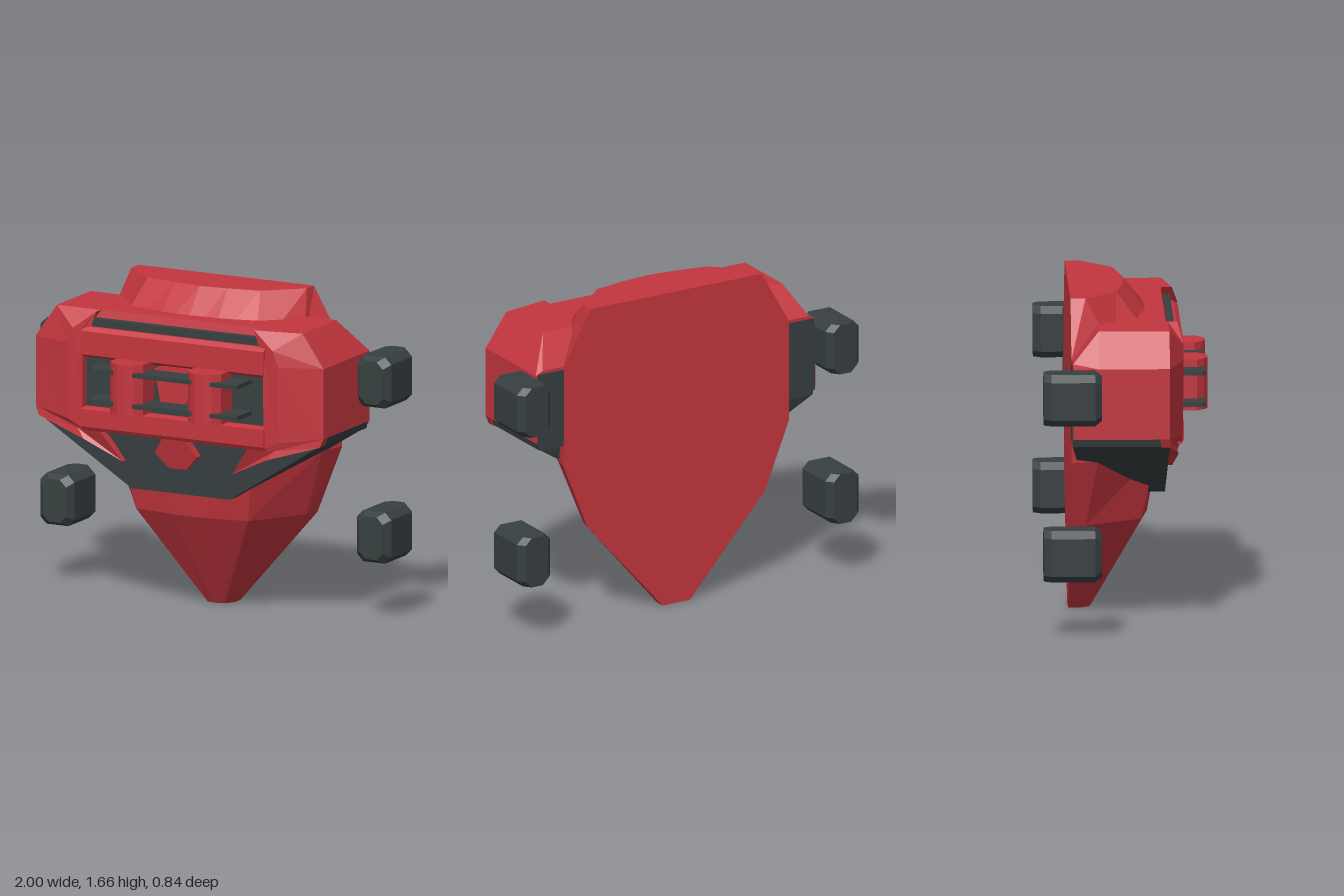
import * as THREE from 'three';

const red = new THREE.MeshStandardMaterial({ color: 0xc4363e });
red.name = 'red armour';
const dark = new THREE.MeshStandardMaterial({ color: 0x373f40 });
dark.name = 'dark metal';

// Skins a row of closed rings and caps both ends; faces are flat
function loft(rings) {
  const pos = [];
  const tri = (...pts) => pts.forEach((p) => pos.push(...p));
  const n = rings[0].length;
  for (let r = 0; r + 1 < rings.length; r++) {
    for (let i = 0; i < n; i++) {
      const j = (i + 1) % n;
      const [a, b, c, d] = [rings[r][i], rings[r][j], rings[r + 1][j], rings[r + 1][i]];
      tri(a, b, c);
      tri(a, c, d);
    }
  }
  const cap = (ring, flip) => {
    const m = [0, 1, 2].map((k) => ring.reduce((s, p) => s + p[k], 0) / n);
    ring.forEach((p, i) => {
      const q = ring[(i + 1) % n];
      if (flip) tri(m, q, p);
      else tri(m, p, q);
    });
  };
  cap(rings[0], true);
  cap(rings[rings.length - 1], false);
  const g = new THREE.BufferGeometry();
  g.setAttribute('position', new THREE.Float32BufferAttribute(pos, 3));
  g.computeVertexNormals();
  return g;
}

const mirror = (rings) => rings.map((r) => r.map(([x, y, z]) => [-x, y, z]).reverse());
const atZ = (z, pts) => pts.map(([x, y]) => [x, y, z]);

// Side profile of (z, y) points swept across the width
function sweepX(profile, half) {
  const ring = (x) => profile.map(([z, y]) => [x, y, z]);
  return loft([ring(half), ring(-half)]);
}

export function createModel() {
  const model = new THREE.Group();
  const add = (name, geometry, material) => {
    const mesh = new THREE.Mesh(geometry, material);
    mesh.name = name;
    model.add(mesh);
    return mesh;
  };
  const addPair = (name, rings, material) => {
    add(name + 'Left', loft(rings), material);
    add(name + 'Right', loft(mirror(rings)), material);
  };
  const box = (name, material, w, h, d, x, y, z) =>
    add(name, new THREE.BoxGeometry(w, h, d), material).position.set(x, y, z);

  // Tapering shield body: half sections (x, z) from the back edge to the centre
  const level = (y, half) => [
    ...half.map(([x, z]) => [-x, y, z]),
    ...half.slice(0, -1).reverse().map(([x, z]) => [x, y, z]),
  ];
  add('body', loft([
    level(0, [[0.08, -0.275], [0.08, -0.22], [0.05, -0.17], [0.02, -0.162], [0, -0.16]]),
    level(0.5, [[0.52, -0.275], [0.5, -0.2], [0.32, 0.085], [0.1, 0.12], [0, 0.125]]),
    level(0.85, [[0.66, -0.275], [0.62, -0.14], [0.38, 0.16], [0.16, 0.18], [0, 0.185]]),
    level(1.38, [[0.66, -0.275], [0.565, -0.05], [0.41, 0.175], [0.17, 0.23], [0, 0.235]]),
    level(1.66, [[0.5, -0.275], [0.5, -0.2], [0.32, -0.04], [0.15, -0.01], [0, 0.005]]),
  ]), red);

  // Shoulder blocks, bevelled at the outer front and sloped at the top rear
  const shoulder = [[0.515, 1], [0.82, 1], [0.82, 1.36], [0.7, 1.53], [0.45, 1.53], [0.515, 1.44]];
  addPair('shoulder', [
    atZ(-0.27, [[0.515, 1], [0.82, 1], [0.82, 1.36], [0.78, 1.38], [0.515, 1.38], [0.515, 1.36]]),
    atZ(-0.14, shoulder),
    atZ(0.215, shoulder),
    [[0.515, 0.93, 0.285], [0.6, 0.97, 0.285], [0.6, 1.36, 0.29],
      [0.57, 1.44, 0.29], [0.45, 1.53, 0.262], [0.515, 1.44, 0.29]],
  ], red);
  for (const s of [-1, 1]) {
    box('shoulderBackPanel', dark, 0.15, 0.38, 0.008, s * 0.735, 1.175, -0.273);
  }

  // Middle of the chest, with an open dark slot above the upper bar
  add('chestCore', sweepX([
    [-0.14, 1.53], [-0.26, 1.38], [-0.26, 1], [0.24, 0.95], [0.24, 1.46], [0.215, 1.49], [0.205, 1.53],
  ], 0.518), red);
  box('recessPanel', dark, 1.03, 0.28, 0.008, 0, 1.17, 0.243);
  box('topSlot', dark, 0.96, 0.05, 0.055, 0, 1.465, 0.225);
  add('upperBar', sweepX([
    [0.2, 1.45], [0.2, 1.295], [0.27, 1.295], [0.293, 1.31], [0.293, 1.43], [0.27, 1.45],
  ], 0.52), red);
  add('lowerBar', sweepX([
    [0.2, 1.04], [0.2, 0.92], [0.28, 0.92], [0.293, 0.94], [0.293, 1.03], [0.27, 1.04],
  ], 0.52), red);

  // Keystone between the posts
  const keystone = [[-0.07, 1.08], [0.07, 1.08], [0.11, 1.28], [0.06, 1.295], [-0.06, 1.295], [-0.11, 1.28]];
  add('keystone', loft([atZ(0.23, keystone), atZ(0.28, keystone)]), red);

  // Posts with rounded fronts, joined by two thin shelves
  const post = [
    [-0.095, 0.22], [-0.095, 0.365], [-0.06, 0.402], [-0.025, 0.42],
    [0.025, 0.42], [0.06, 0.402], [0.095, 0.365], [0.095, 0.22],
  ];
  for (const s of [-1, 1]) {
    const ring = (y) => post.map(([x, z]) => [x + s * 0.222, y, z]);
    add('post', loft([ring(1.05), ring(1.31)]), red);
  }
  const shelf = [[-0.425, 0.23], [-0.425, 0.39], [-0.41, 0.406], [0.41, 0.406], [0.425, 0.39], [0.425, 0.23]];
  for (const y of [1.1, 1.26]) {
    const ring = (h) => shelf.map(([x, z]) => [x, h, z]);
    add('shelf', loft([ring(y - 0.011), ring(y + 0.011)]), dark);
  }

  // Dark skirt under the chest
  const skirt = [
    [-0.8, 0.96], [-0.28, 0.63], [0.28, 0.63], [0.8, 0.96],
    [0.81, 1], [0.5, 1], [-0.5, 1], [-0.81, 1],
  ];
  const frontZ = [0.215, 0.205, 0.205, 0.215, 0.212, 0.245, 0.245, 0.212];
  add('skirt', loft([
    atZ(-0.272, skirt.map(([x, y]) => [x, Math.max(y, 0.95)])),
    atZ(-0.19, skirt),
    skirt.map(([x, y], i) => [x, y, frontZ[i]]),
  ]), dark);

  // Red plates overlapping the skirt
  const plate = (pts) => {
    const front = pts.map(([x, y]) =>
      [x, y, Math.min(0.24 + (y - 0.77) * 0.27, 0.286 - Math.max(0, Math.abs(x) - 0.6) * 0.32)]);
    return [front.map(([x, y, z]) => [x, y, z - 0.05]), front];
  };
  addPair('cheekPlate', plate([[0.31, 0.77], [0.52, 0.87], [0.8, 0.955], [0.82, 1], [0.5, 1], [0.42, 0.92]]), red);
  add('chinPlate', loft(plate([
    [-0.05, 0.765], [0.05, 0.765], [0.12, 0.84], [0.06, 0.93], [-0.06, 0.93], [-0.12, 0.84],
  ])), red);

  // Four bevelled side pads
  const pad = (w, h, y, z) => {
    const c = 0.035;
    return [
      [-w + c, -h], [w - c, -h], [w, -h + c], [w, h - c],
      [w - c, h], [-w + c, h], [-w, h - c], [-w, -h + c],
    ].map(([px, py]) => [0.903 + px, y + py, z]);
  };
  for (const [name, y] of [['upperPad', 1.23], ['lowerPad', 0.433]]) {
    addPair(name, [
      pad(0.067, 0.131, y, -0.422), pad(0.097, 0.131, y, -0.385),
      pad(0.097, 0.131, y, -0.165), pad(0.067, 0.11, y, -0.13),
    ], dark);
  }
  return model;
}
